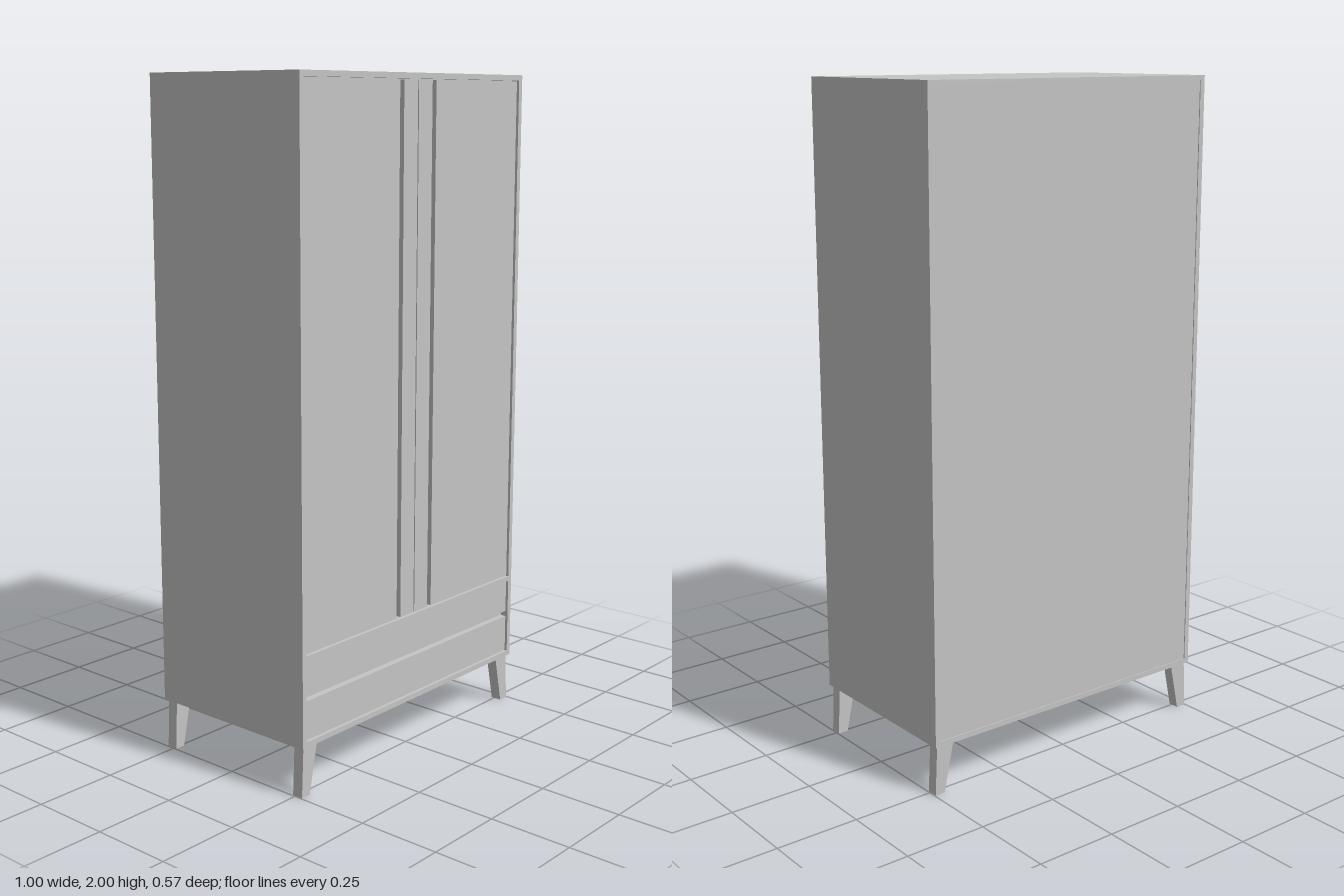
import * as THREE from 'three';

export function createModel() {
  const group = new THREE.Group();
  const grey = new THREE.MeshStandardMaterial({ color: 0xc4c4c4 });
  grey.name = 'light grey';

  const add = (name, geometry) => {
    const mesh = new THREE.Mesh(geometry, grey);
    mesh.name = name;
    group.add(mesh);
    return mesh;
  };
  // Box given by its limits on each axis
  const panel = (name, x0, x1, y0, y1, z0, z1) => {
    const mesh = add(name, new THREE.BoxGeometry(x1 - x0, y1 - y0, z1 - z0));
    mesh.position.set((x0 + x1) / 2, (y0 + y1) / 2, (z0 + z1) / 2);
    return mesh;
  };

  const W = 0.5, D = 0.283, T = 0.016;
  const base = 0.15, top = 2;
  const face = D - 0.006;   // front of doors and drawers
  const inner = face - 0.02; // bottom of the finger grooves

  // Carcass
  panel('topPanel', -W, W, top - T, top, -D, D);
  panel('bottomPanel', -W, W, base, base + T, -D, D);
  panel('backPanel', -W + T, W - T, base + T, top - T, -D + 0.003, -D + 0.012);
  panel('divider', -W + T, W - T, 0.403, 0.419, -D + 0.012, D);
  panel('grooveBacking', -W + T, W - T, base + T, top - T, inner - 0.01, inner);

  for (const side of [-1, 1]) {
    const mirrored = (name, a, b, ...rest) =>
      panel(name, Math.min(side * a, side * b), Math.max(side * a, side * b), ...rest);

    mirrored('sidePanel', W - T, W, base + T, top - T, -D, D);

    // Door: wide panel, finger groove, narrow inner strip
    mirrored('doorPanel', 0.082, W - T - 0.003, 0.422, top - T - 0.003, inner, face);
    mirrored('doorInnerStrip', 0.002, 0.064, 0.422, top - T - 0.003, inner, face);

    // Splayed tapering legs, upright in side view
    for (const end of [-1, 1]) {
      const shape = new THREE.Shape([
        [0.497, 0], [0.49, base], [0.433, base], [0.465, 0],
      ].map(([x, y]) => new THREE.Vector2(side * x, y)));
      const leg = add(end > 0 ? 'frontLeg' : 'backLeg',
        new THREE.ExtrudeGeometry(shape, { depth: 0.034, bevelEnabled: false }));
      leg.position.z = end * 0.258 - 0.017;
    }
  }

  // Two drawers with a finger groove between them
  for (const [y0, y1] of [[base + T + 0.003, 0.284], [0.301, 0.4]]) {
    panel('drawerFront', -W + T + 0.003, W - T - 0.003, y0, y1, inner, face);
  }

  return group;
}
